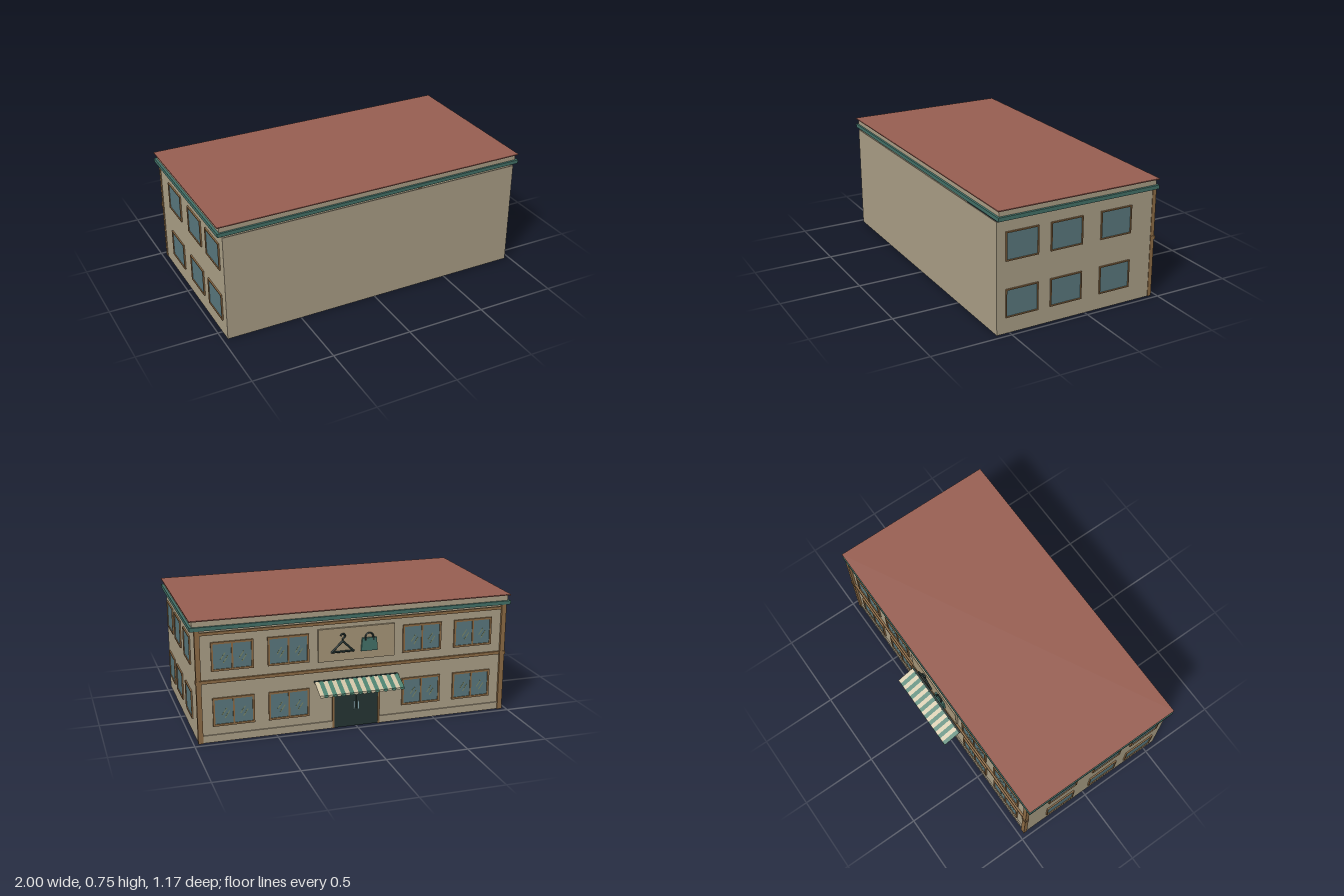
import * as THREE from 'three';

const paint = (color) => new THREE.MeshStandardMaterial({ color, side: THREE.DoubleSide });
const WALL = paint(0xaea289), SIGN = paint(0xa8987a), ROOF = paint(0x995f52), GREEN = paint(0x44736a),
  BROWN = paint(0x8f6d46), GLASS = paint(0x5b7a80), DARK = paint(0x263634), CREAM = paint(0xd0c4a6),
  GLINT = paint(0x7d8a6a), STRIPE = paint(0x4d8270), METAL = paint(0x8fb0b8);

function add(parent, name, geometry, material) {
  const mesh = new THREE.Mesh(geometry, material);
  mesh.name = name;
  parent.add(mesh);
  return mesh;
}

// Box given by its lower and upper bounds on each axis
function box(parent, name, material, x0, x1, y0, y1, z0, z1) {
  const mesh = add(parent, name, new THREE.BoxGeometry(x1 - x0, y1 - y0, z1 - z0), material);
  mesh.position.set((x0 + x1) / 2, (y0 + y1) / 2, (z0 + z1) / 2);
  return mesh;
}

// Rectangle path centred on the origin
function rect(target, w, h) {
  target.moveTo(-w / 2, -h / 2);
  target.lineTo(w / 2, -h / 2);
  target.lineTo(w / 2, h / 2);
  target.lineTo(-w / 2, h / 2);
  target.closePath();
  return target;
}

// Framed window facing +z, optionally split into two panes with glints
function makeWindow(w, h, split) {
  const g = new THREE.Group();
  g.name = 'window';
  const t = split ? 0.012 : 0.007;
  const frame = rect(new THREE.Shape(), w, h);
  frame.holes.push(rect(new THREE.Path(), w - 2 * t, h - 2 * t));
  add(g, 'windowFrame', new THREE.ExtrudeGeometry(frame, { depth: 0.01, bevelEnabled: false }), BROWN);
  box(g, 'windowGlass', GLASS, -w / 2 + t, w / 2 - t, -h / 2 + t, h / 2 - t, 0, 0.004);
  if (split) {
    box(g, 'windowMullion', BROWN, -0.005, 0.005, -h / 2 + t, h / 2 - t, 0.003, 0.009);
    for (const x of [-0.055, 0.055]) for (const k of [0, 1]) {
      const glint = box(g, 'glassGlint', GLINT, -0.003, 0.003, -0.025, 0.025, 0.003, 0.005);
      glint.position.x = x + k * 0.016;
      glint.position.y = k * -0.02;
      glint.rotation.z = -0.6;
    }
  }
  return g;
}

// Clothes hanger: rounded triangle loop with a curved hook
function makeHanger() {
  const g = new THREE.Group();
  g.name = 'hangerEmblem';
  const loop = [[-0.068, 0], [0.068, 0], [0, 0.065]].map(([x, y]) => new THREE.Vector3(x, y, 0));
  loop.forEach((p, i) => {
    const path = new THREE.LineCurve3(p, loop[(i + 1) % 3]);
    add(g, 'hangerBar', new THREE.TubeGeometry(path, 1, 0.006, 6), DARK);
    const joint = add(g, 'hangerJoint', new THREE.SphereGeometry(0.006, 8, 6), DARK);
    joint.position.copy(p);
  });
  const hook = new THREE.CatmullRomCurve3([[0, 0.065], [0, 0.08], [0.014, 0.092], [0.01, 0.107], [-0.006, 0.107], [-0.013, 0.097]]
    .map(([x, y]) => new THREE.Vector3(x, y, 0)));
  add(g, 'hangerHook', new THREE.TubeGeometry(hook, 20, 0.005, 6), DARK);
  return g;
}

// Shopping bag: flat body with an arched handle
function makeBag() {
  const g = new THREE.Group();
  g.name = 'bagEmblem';
  const body = new THREE.Shape([[-0.052, 0], [0.052, 0], [0.045, 0.08], [-0.045, 0.08]].map((p) => new THREE.Vector2(...p)));
  add(g, 'bagBody', new THREE.ExtrudeGeometry(body, { depth: 0.014, bevelEnabled: false }), GREEN);
  const handle = add(g, 'bagHandle', new THREE.TorusGeometry(0.024, 0.005, 6, 16, Math.PI), DARK);
  handle.position.set(0, 0.085, 0.007);
  for (const x of [-0.024, 0.024]) box(g, 'bagHandleEnd', DARK, x - 0.005, x + 0.005, 0.065, 0.086, 0.003, 0.016);
  return g;
}

// Striped awning, built facing +z with its wall edge at z = 0
function makeAwning() {
  const g = new THREE.Group();
  g.name = 'awning';
  const count = 20, w = 0.53 / count, drop = 0.05, reach = 0.112;
  for (let i = 0; i < count; i++) {
    const material = i % 2 ? STRIPE : CREAM, x = -0.265 + (i + 0.5) * w;
    const slope = add(g, 'awningStripe', new THREE.BoxGeometry(w, 0.003, Math.hypot(drop, reach)), material);
    slope.position.set(x, -drop / 2, reach / 2);
    slope.rotation.x = Math.atan2(drop, reach);
    const flap = new THREE.Shape();
    flap.moveTo(w / 2, 0.002);
    flap.lineTo(-w / 2, 0.002);
    flap.lineTo(-w / 2, -0.005);
    flap.absarc(0, -0.005, w / 2, Math.PI, 2 * Math.PI, false);
    const valance = add(g, 'awningScallop', new THREE.ExtrudeGeometry(flap, { depth: 0.003, bevelEnabled: false, curveSegments: 6 }), material);
    valance.position.set(x, -drop, reach - 0.002);
    valance.scale.y = 0.75;
  }
  return g;
}

export function createModel() {
  const model = new THREE.Group();
  model.name = 'shopBuilding';

  // Hollow shell, open underneath
  const T = 0.006;
  box(model, 'plainWall', WALL, -0.97, 0.97, 0, 0.675, 0.58 - T, 0.58);
  box(model, 'shopWall', WALL, -0.965, 0.965, 0, 0.675, -0.455, -0.449);
  for (const s of [-1, 1]) {
    const x = s * (0.97 - T / 2);
    box(model, 'sideWall', WALL, x - T / 2, x + T / 2, 0, 0.675, -0.455, 0.58);
  }

  // Cornice, parapet and roof slab
  box(model, 'cornice', GREEN, -1, 1, 0.687, 0.71, -0.47, 0.585);
  box(model, 'parapet', WALL, -0.985, 0.985, 0.71, 0.745, -0.457, 0.573);
  box(model, 'roof', ROOF, -1, 1, 0.744, 0.75, -0.47, 0.585);

  // Side windows on two floors
  for (const s of [-1, 1]) for (const y of [0.185, 0.525]) for (const z of [0.422, 0.135, -0.195]) {
    const w = makeWindow(0.208, 0.172, false);
    w.position.set(s * 0.969, y, z);
    w.rotation.y = s * Math.PI / 2;
    model.add(w);
  }

  // Storefront trim
  for (const s of [-1, 1]) {
    const x = s * 0.958;
    box(model, 'cornerPost', BROWN, x - 0.015, x + 0.015, 0, 0.687, -0.47, -0.445);
    box(model, 'postBand', BROWN, x - 0.019, x + 0.019, 0.365, 0.388, -0.474, -0.444);
    const a = s * 0.15, b = s * 0.945;
    box(model, 'plinth', WALL, Math.min(a, b), Math.max(a, b), 0, 0.045, -0.463, -0.454);
  }
  box(model, 'floorBand', BROWN, -0.945, 0.945, 0.367, 0.386, -0.468, -0.454);
  box(model, 'topTrim', BROWN, -0.945, 0.945, 0.657, 0.675, -0.464, -0.454);

  // Storefront windows on two floors
  for (const x of [-0.755, -0.42, 0.42, 0.755]) for (const y of [0.185, 0.525]) {
    const w = makeWindow(0.25, 0.175, true);
    w.position.set(x, y, -0.455);
    w.rotation.y = Math.PI;
    model.add(w);
  }

  // Double door
  const door = new THREE.Group();
  door.name = 'door';
  for (const s of [-1, 1]) {
    const x = s * 0.07;
    box(door, 'doorLeaf', DARK, x - 0.069, x + 0.069, 0, 0.275, -0.46, -0.454);
    box(door, 'doorHandle', METAL, s * 0.014 - 0.003, s * 0.014 + 0.003, 0.11, 0.16, -0.467, -0.459);
    box(door, 'doorJamb', BROWN, s * 0.145 - 0.006, s * 0.145 + 0.006, 0, 0.287, -0.466, -0.454);
  }
  box(door, 'doorHeader', BROWN, -0.151, 0.151, 0.275, 0.287, -0.466, -0.454);
  model.add(door);

  // Sign board with emblems
  box(model, 'signBoard', SIGN, -0.24, 0.24, 0.43, 0.632, -0.47, -0.454);
  const hanger = makeHanger(), bag = makeBag(), awning = makeAwning();
  hanger.position.set(0.092, 0.488, -0.476);
  bag.position.set(-0.075, 0.48, -0.469);
  awning.position.set(0, 0.31, -0.47);
  for (const part of [hanger, bag, awning]) {
    part.rotation.y = Math.PI;
    model.add(part);
  }
  box(model, 'awningRail', DARK, -0.265, 0.265, 0.304, 0.312, -0.472, -0.454);

  return model;
}
